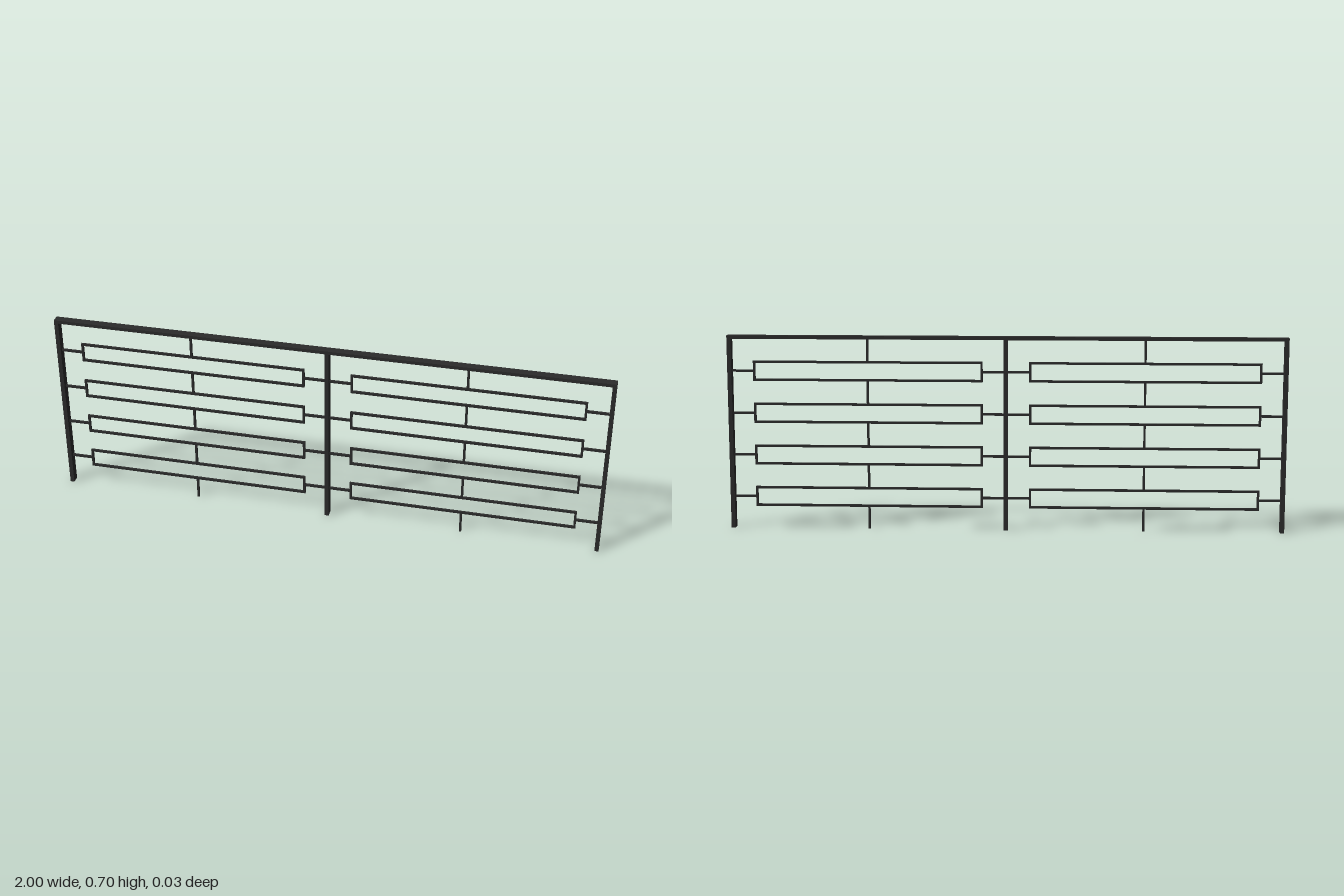
import * as THREE from 'three';

const HEIGHT = 0.703, DEPTH = 0.029, POST = 0.015, RAIL = 0.012, BAR = 0.008;
const PANEL_X = 0.496, FRAME_W = 0.826, FRAME_H = 0.073;
const FRAME_YS = [0.116, 0.269, 0.422, 0.575];

export function createModel() {
  const railing = new THREE.Group();
  railing.name = 'railing';
  const metal = new THREE.MeshStandardMaterial({ color: 0x2b2b2b });

  // Box given by its extents in x and y, centred on z = 0
  function bar(parent, name, x0, x1, y0, y1, depth = BAR) {
    const mesh = new THREE.Mesh(new THREE.BoxGeometry(x1 - x0, y1 - y0, depth), metal);
    mesh.position.set((x0 + x1) / 2, (y0 + y1) / 2, 0);
    mesh.name = name;
    parent.add(mesh);
  }

  // Top rail and three posts
  bar(railing, 'topRail', -1, 1, HEIGHT - RAIL, HEIGHT, DEPTH);
  for (const x of [-1 + POST / 2, 0, 1 - POST / 2]) {
    bar(railing, 'post', x - POST / 2, x + POST / 2, 0, HEIGHT - RAIL, DEPTH);
  }

  // Rectangular ring made with a hole
  const w = FRAME_W / 2, h = FRAME_H / 2;
  const rect = (Type, a, b) => new Type([[-a, -b], [a, -b], [a, b], [-a, b]].map(p => new THREE.Vector2(...p)));
  const ring = rect(THREE.Shape, w, h);
  ring.holes.push(rect(THREE.Path, w - BAR, h - BAR));
  const ringGeometry = new THREE.ExtrudeGeometry(ring, { depth: BAR, bevelEnabled: false });
  ringGeometry.translate(0, 0, -BAR / 2);

  for (const side of [-1, 1]) {
    const panel = new THREE.Group();
    panel.name = side < 0 ? 'rightPanel' : 'leftPanel';
    panel.position.x = side * PANEL_X;
    railing.add(panel);

    const reach = PANEL_X - POST / 2;
    let below = 0;
    for (const y of FRAME_YS) {
      const frame = new THREE.Mesh(ringGeometry, metal);
      frame.name = 'frame';
      frame.position.y = y;
      panel.add(frame);

      // Short ties from the frame to the posts on both sides
      bar(panel, 'sideTie', -reach, -w, y - BAR / 2, y + BAR / 2);
      bar(panel, 'sideTie', w, reach, y - BAR / 2, y + BAR / 2);

      // Upright between this frame and whatever is below it
      bar(panel, 'upright', -BAR / 2, BAR / 2, below, y - h);
      below = y + h;
    }
    bar(panel, 'upright', -BAR / 2, BAR / 2, below, HEIGHT - RAIL);
  }
  return railing;
}
